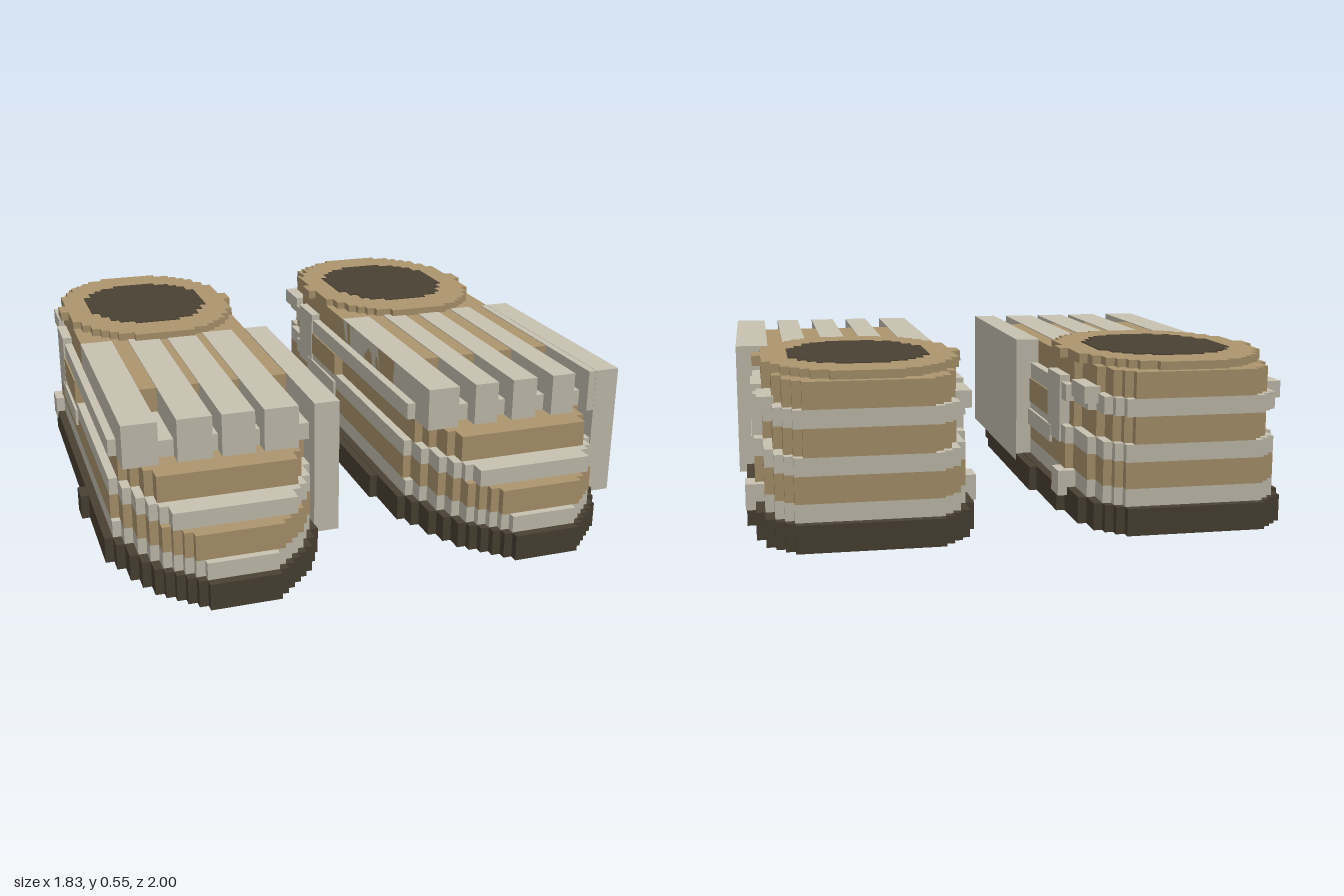
import * as THREE from 'three';

const V = 2 / 70; // block size of the stepped surfaces

const mat = (name, color) => {
  const m = new THREE.MeshStandardMaterial({ color });
  m.name = name;
  return m;
};

// half width of the sole along z: [z, half width]
const OUTLINE = [[-1, 0.23], [-0.97, 0.257], [-0.87, 0.32], [-0.7, 0.35], [-0.6, 0.371], [0.55, 0.371],
  [0.66, 0.33], [0.8, 0.28], [0.9, 0.2], [0.97, 0.13], [1, 0.114]];

function soleWidth(z) {
  let i = 1;
  while (i < OUTLINE.length - 1 && OUTLINE[i][0] < z) i++;
  const [z0, w0] = OUTLINE[i - 1], [z1, w1] = OUTLINE[i];
  return w0 + (w1 - w0) * (z - z0) / (z1 - z0);
}

const ellipse = (cz, rx, rz) => z => rx * Math.sqrt(Math.max(0, 1 - ((z - cz) / rz) ** 2));

// flat layer with a blocky, stepped outline
function steppedLayer(width, zBack, zFront, y0, y1, inset = 0) {
  const right = [];
  const rows = Math.round((zFront - zBack) / V);
  const step = (zFront - zBack) / rows;
  for (let i = 0; i < rows; i++) {
    const z = zBack + i * step;
    const h = Math.max(V, Math.round(width(z + step / 2) / V) * V - inset * V);
    right.push([h, z], [h, z + step]);
  }
  const left = right.map(([x, z]) => [-x, z]).reverse();
  const shape = new THREE.Shape([...right, ...left].map(([x, z]) => new THREE.Vector2(x, -z)));
  const geo = new THREE.ExtrudeGeometry(shape, { depth: y1 - y0, bevelEnabled: false });
  return geo.rotateX(-Math.PI / 2).translate(0, y0, 0);
}

function block(x0, x1, y0, y1, z0, z1) {
  return new THREE.BoxGeometry(x1 - x0, y1 - y0, z1 - z0)
    .translate((x0 + x1) / 2, (y0 + y1) / 2, (z0 + z1) / 2);
}

export function createModel() {
  const dark = mat('darkBrown', 0x4a4133);
  const tan = mat('tan', 0xad966e);
  const light = mat('paleGrey', 0xc8c2b2);
  const model = new THREE.Group();
  model.name = 'slippers';

  // band: name, material, bottom, top, front end, inset in blocks
  const bands = [
    ['lowerPaleBand', light, 0.085, 0.145, 0.97, 1],
    ['lowerTanBand', tan, 0.145, 0.23, 0.945, 1],
    ['middlePaleBand', light, 0.23, 0.287, 0.89, 1],
    ['middleTanBand', tan, 0.287, 0.375, 0.8, 2],
    ['upperPaleBand', light, 0.375, 0.432, 0.655, 1],
    ['upperTanBand', tan, 0.432, 0.516, 0.4, 2],
  ];

  // slat edges across the instep, in world x
  const slats = {
    left: [[0.2, 0.31], [0.37, 0.455], [0.51, 0.6], [0.66, 0.745], [0.8, 0.83]],
    right: [[-0.83, -0.715], [-0.655, -0.54], [-0.51, -0.4], [-0.37, -0.255], [-0.2, -0.19]],
  };

  for (const side of ['left', 'right']) {
    const cx = (side === 'left' ? 1 : -1) * 18 * V;
    const slipper = new THREE.Group();
    slipper.name = side + 'Slipper';
    slipper.position.x = cx;
    const add = (name, geo, material) => {
      const m = new THREE.Mesh(geo, material);
      m.name = name;
      slipper.add(m);
    };

    // sole with small bumps along its rim
    add('sole', steppedLayer(soleWidth, -1, 1, 0, 0.088), dark);
    const inner = side === 'left' ? -1 : 1;
    const rim = (s, y1, z0, z1) => add('soleBump',
      s > 0 ? block(0.34, 0.399, 0, y1, z0, z1) : block(-0.399, -0.34, 0, y1, z0, z1), dark);
    rim(inner, 0.086, -0.37, inner > 0 ? -0.143 : 0.4);
    rim(-inner, inner > 0 ? 0.086 : 0.06, 0.17, 0.25);
    if (inner > 0) rim(1, 0.06, -0.143, 0.4);

    // striped body, stepping back towards the instep
    for (const [name, m, y0, y1, zf, inset] of bands) {
      add(name, steppedLayer(soleWidth, -0.972, zf, y0, y1, inset), m);
    }

    // ragged patches on both flanks
    for (const s of [-1, 1]) {
      const patch = (name, m, x, y0, y1, z0, z1) =>
        add(name, s > 0 ? block(0.28, x, y0, y1, z0, z1) : block(-x, -0.28, y0, y1, z0, z1), m);
      patch('flankPatch', light, 0.349, 0.225, 0.455, -0.6, -0.43);
      patch('flankPatch', light, 0.352, 0.2, 0.26, -0.48, -0.143);
      patch('flankPatch', light, 0.375, 0.06, 0.145, -0.69, -0.6);
      patch('flankPatch', light, 0.332, 0.4, 0.455, -0.85, -0.69);
      patch('flankPatch', tan, 0.348, 0.287, 0.375, -0.43, -0.143);
    }

    // side panel and instep slats
    add('sidePanel', block(0.312, 0.398, 0.06, 0.52, -0.143, 0.712), light);
    for (const [x0, x1] of slats[side]) {
      add('instepSlat', block(x0 - cx, x1 - cx, 0.374, 0.519, -0.143, 0.711), light);
    }

    // collar and foot opening
    add('collar', steppedLayer(ellipse(-0.53, 0.33, 0.425), -0.945, -0.115, 0.51, 0.543), tan);
    add('footOpening', steppedLayer(ellipse(-0.53, 0.235, 0.28), -0.8, -0.257, 0.54, 0.546), dark);

    model.add(slipper);
  }
  return model;
}
